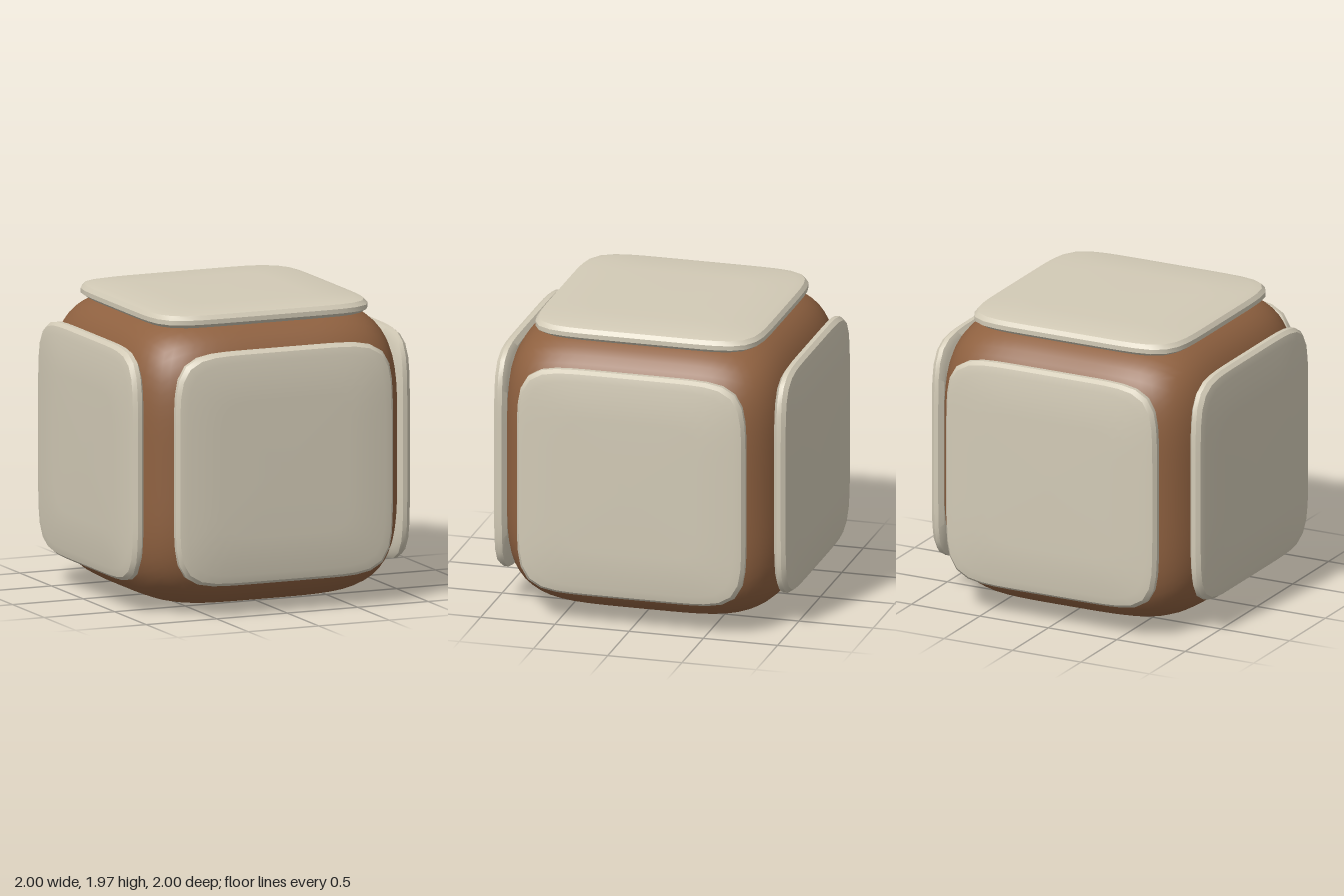
import * as THREE from 'three';
import { mergeVertices, toCreasedNormals } from 'three/addons/utils/BufferGeometryUtils.js';

const CENTRE_Y = 0.97;

// Soft cube: box points pushed onto a superellipsoid, with exact smooth normals
function softCube(radius, power) {
  const geo = new THREE.BoxGeometry(2, 2, 2, 20, 20, 20);
  const pos = geo.attributes.position;
  const nor = geo.attributes.normal;
  const p = new THREE.Vector3();
  const bend = (v) => Math.sign(v) * Math.abs(v) ** (power - 1);
  for (let i = 0; i < pos.count; i++) {
    p.fromBufferAttribute(pos, i);
    const size = Math.abs(p.x) ** power + Math.abs(p.y) ** power + Math.abs(p.z) ** power;
    p.multiplyScalar(radius / size ** (1 / power));
    pos.setXYZ(i, p.x, p.y, p.z);
    p.set(bend(p.x), bend(p.y), bend(p.z)).normalize();
    nor.setXYZ(i, p.x, p.y, p.z);
  }
  return geo;
}

// Cushion pad facing +y: a turned profile squared off into a rounded square
function padGeometry(power) {
  const profile = [
    [0, 0.9], [0.735, 0.9], [0.77, 0.925], [0.77, 0.955], [0.75, 0.982],
    [0.7, 0.994], [0.45, 1], [0, 1],
  ].map(([r, y]) => new THREE.Vector2(r, y));
  const geo = new THREE.LatheGeometry(profile, 64);
  const pos = geo.attributes.position;
  for (let i = 0; i < pos.count; i++) {
    const x = pos.getX(i);
    const z = pos.getZ(i);
    const r = Math.hypot(x, z);
    if (r < 1e-6) continue;
    const k = (Math.abs(x / r) ** power + Math.abs(z / r) ** power) ** (-1 / power);
    pos.setXYZ(i, x * k, pos.getY(i), z * k);
  }
  geo.deleteAttribute('uv');
  geo.deleteAttribute('normal');
  return toCreasedNormals(mergeVertices(geo), 0.6);
}

export function createModel() {
  const brown = new THREE.MeshStandardMaterial({ color: 0x8f6140 });
  brown.name = 'brown';
  const cream = new THREE.MeshStandardMaterial({ color: 0xd2cab6 });
  cream.name = 'cream';

  const model = new THREE.Group();
  model.name = 'paddedCube';

  // Core block
  const body = new THREE.Mesh(softCube(0.97, 4.5), brown);
  body.name = 'body';
  body.position.y = CENTRE_Y;
  model.add(body);

  // Pads on every face except the bottom
  const padGeo = padGeometry(6.8);
  const pads = {
    topPad: [0, 0, 0],
    frontPad: [Math.PI / 2, 0, 0],
    backPad: [-Math.PI / 2, 0, 0],
    leftPad: [0, 0, -Math.PI / 2],
    rightPad: [0, 0, Math.PI / 2],
  };
  for (const [name, rotation] of Object.entries(pads)) {
    const pad = new THREE.Mesh(padGeo, cream);
    pad.name = name;
    pad.rotation.set(...rotation);
    pad.position.y = CENTRE_Y;
    model.add(pad);
  }
  return model;
}
